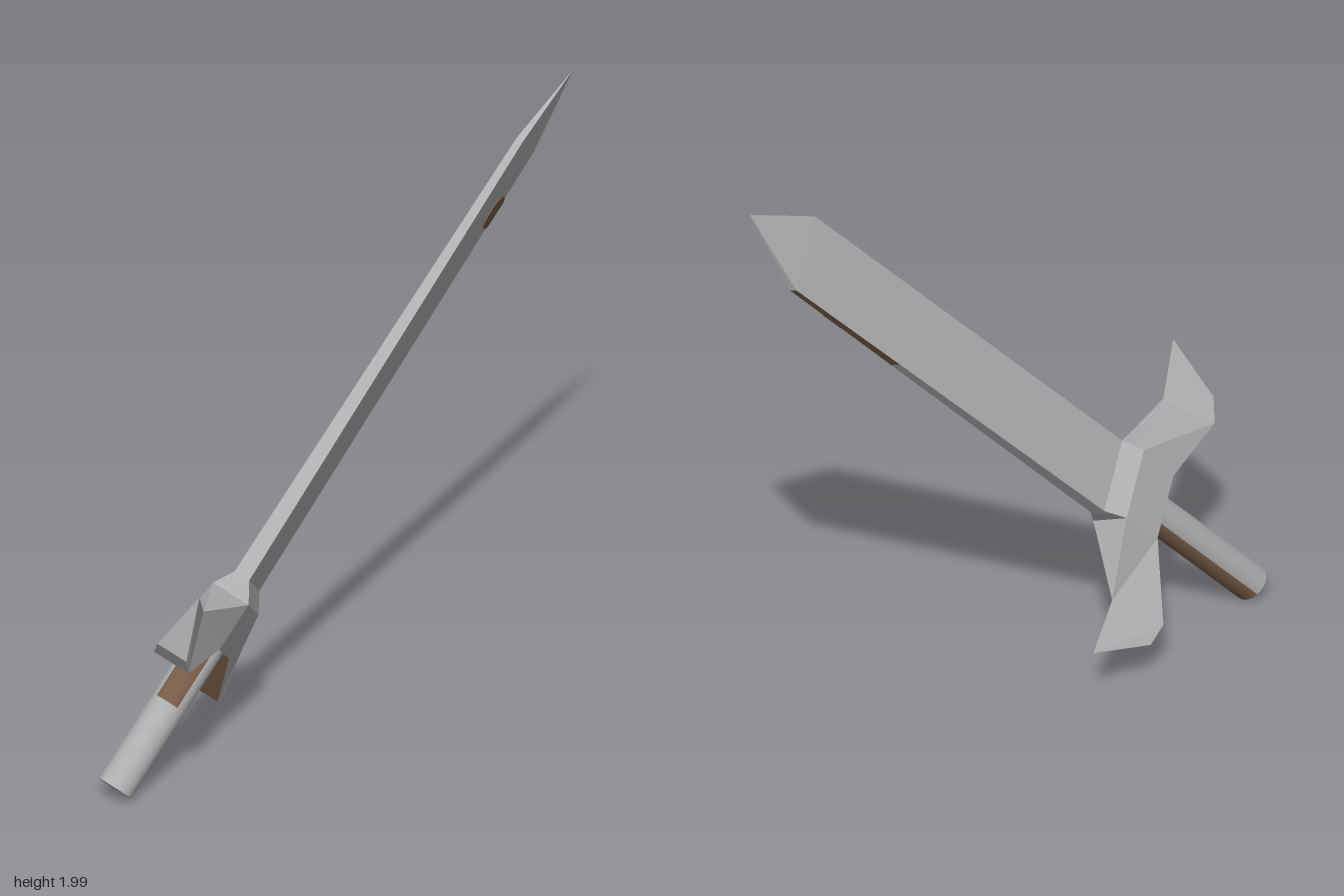
import * as THREE from 'three';

const steel = new THREE.MeshStandardMaterial({ color: 0xb0b0b0 });
steel.name = 'steel grey';
const rust = new THREE.MeshStandardMaterial({ color: 0x785c48 });
rust.name = 'rust brown';

// Flat-faced skin over four-cornered sections; isRust(row, side) picks the brown faces
function loft(name, rows, isRust = () => false) {
  const pos = [];
  const geo = new THREE.BufferGeometry();
  const quad = (a, b, c, d, brown) => {
    geo.addGroup(pos.length / 3, 6, brown ? 1 : 0);
    pos.push(...a, ...b, ...c, ...a, ...c, ...d);
  };
  for (let r = 0; r < rows.length - 1; r++) {
    for (let s = 0; s < 4; s++) {
      const t = (s + 1) % 4;
      quad(rows[r][s], rows[r][t], rows[r + 1][t], rows[r + 1][s], isRust(r, s));
    }
  }
  const first = rows[0], last = rows[rows.length - 1];
  quad(first[3], first[2], first[1], first[0], false);
  quad(last[0], last[1], last[2], last[3], false);
  geo.setAttribute('position', new THREE.Float32BufferAttribute(pos, 3));
  geo.computeVertexNormals();
  const mesh = new THREE.Mesh(geo, [steel, rust]);
  mesh.name = name;
  return mesh;
}

// Rectangular section across the blade
const rect = (y, x, z) => [[x, y, z], [x, y, -z], [-x, y, -z], [-x, y, z]];

// Section across the guard: upper and lower edge, each with its own half thickness
const guardSection = ([xTop, yTop, zTop, xLow, yLow, zLow], side) => [
  [side * xTop, yTop, zTop], [side * xLow, yLow, zLow],
  [side * xLow, yLow, -zLow], [side * xTop, yTop, -zTop],
];

// Open curved patch just above the grip surface
function gripPatch(name, from, to, startDeg, sweepDeg) {
  const rad = Math.PI / 180;
  const geo = new THREE.CylinderGeometry(0.062, 0.062, to - from, 10, 1, true, startDeg * rad, sweepDeg * rad);
  const mesh = new THREE.Mesh(geo, rust);
  mesh.position.y = (from + to) / 2;
  mesh.name = name;
  return mesh;
}

export function createModel() {
  const model = new THREE.Group();
  model.name = 'sword';

  // The sword is built upright, x across the blade and z through it
  const sword = new THREE.Group();
  sword.name = 'tiltedSword';
  model.add(sword);

  // Grip with worn patches
  const grip = new THREE.Mesh(new THREE.CylinderGeometry(0.06, 0.06, 0.56, 32), steel);
  grip.position.y = 0.28;
  grip.name = 'grip';
  sword.add(grip);
  sword.add(gripPatch('upperGripPatch', 0.32, 0.55, 52, 78));
  sword.add(gripPatch('lowerGripPatch', 0.002, 0.55, 228, 84));

  // Guard with two flared arms; the underside of one arm is brown
  const arm = [
    [0.553, 0.635, 0, 0.436, 0.444, 0.055],
    [0.355, 0.611, 0, 0.355, 0.42, 0.065],
    [0.12, 0.714, 0.068, 0.11, 0.547, 0.065],
  ];
  const sections = [
    ...arm.map((s) => guardSection(s, -1)),
    ...arm.slice().reverse().map((s) => guardSection(s, 1)),
  ];
  sword.add(loft('guard', sections, (row, side) => row < 2 && side === 1));

  // Collar between guard and blade
  sword.add(loft('collar', [rect(0.714, 0.12, 0.068), rect(0.78, 0.124, 0.028)]));

  // Blade, brown along the upper part of one edge
  sword.add(loft('blade', [
    rect(0.76, 0.124, 0.028),
    rect(1.87, 0.128, 0.0173),
    rect(2.42, 0.13, 0.012),
    rect(2.705, 0, 0),
  ], (row, side) => row === 1 && side === 2));

  // Round spot cut off by the blade edge
  const spotShape = new THREE.Shape();
  spotShape.absarc(-0.09, 2.19, 0.06, Math.PI + 0.87, 3 * Math.PI - 0.87, false);
  const spot = new THREE.Mesh(
    new THREE.ExtrudeGeometry(spotShape, { depth: 0.004, bevelEnabled: false, curveSegments: 20 }), rust);
  spot.position.z = -0.0175;
  spot.name = 'bladeSpot';
  sword.add(spot);

  // Tilt the sword back and turn it about its own axis
  const along = new THREE.Vector3(-0.015, 0.7207, -0.693).normalize();
  const across = new THREE.Vector3(0.551, 0.587, 0.593);
  across.addScaledVector(along, -across.dot(along)).normalize();
  const through = new THREE.Vector3().crossVectors(across, along);
  sword.quaternion.setFromRotationMatrix(new THREE.Matrix4().makeBasis(across, along, through));
  sword.position.set(0.005, 0.044, 0.918);

  return model;
}
